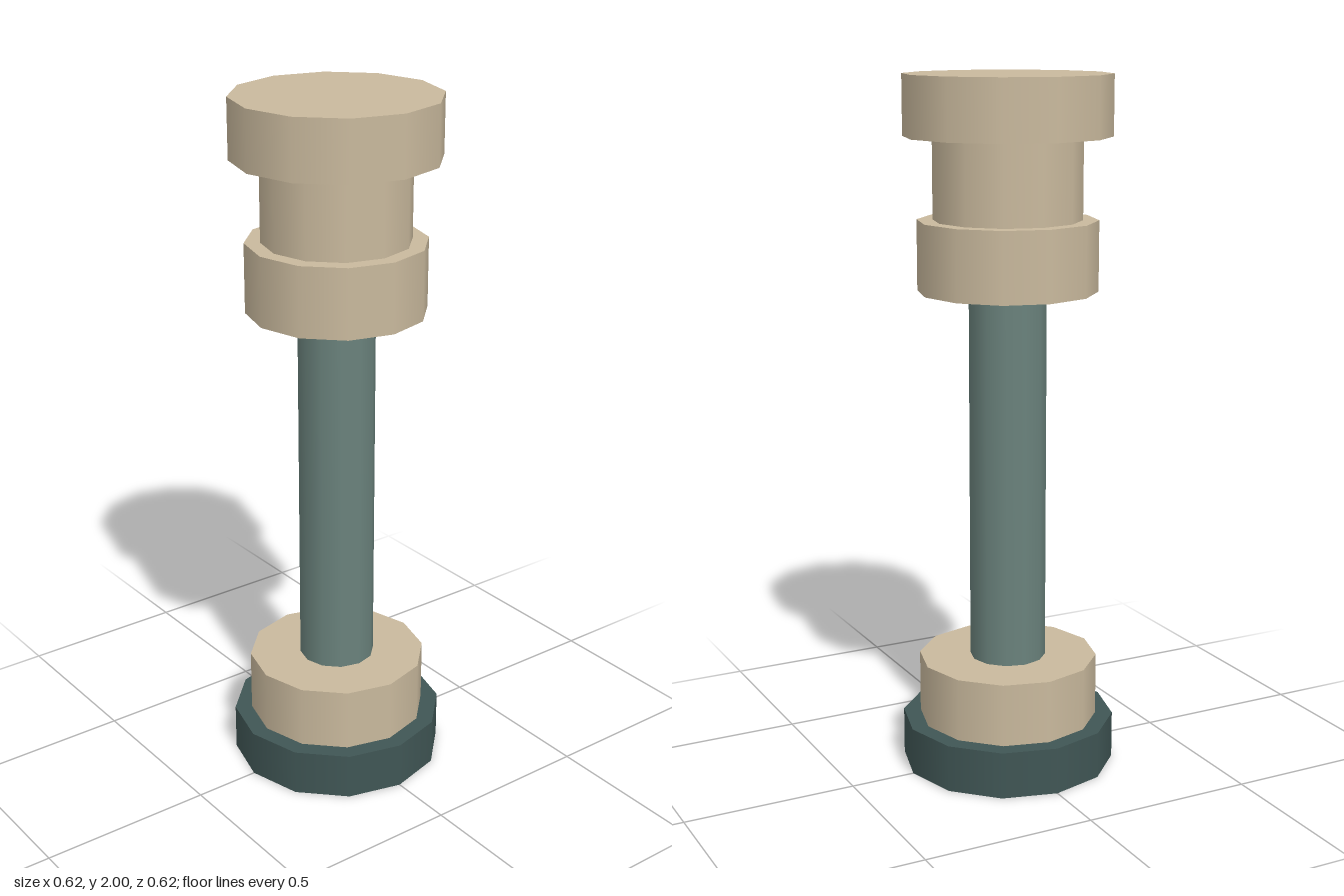
import * as THREE from 'three';

export function createModel() {
  const mat = (name, color) => {
    const m = new THREE.MeshStandardMaterial({ color });
    m.name = name;
    return m;
  };
  const stone = mat('sandstone', 0xc9b99d);
  const green = mat('grey green', 0x6a827c);
  const dark = mat('dark teal', 0x405655);

  const group = new THREE.Group();
  group.name = 'column';

  // Stacked twelve-sided drums: name, radius, bottom, top, material
  const drums = [
    ['base', 0.31, 0, 0.137, dark],
    ['lowerCollar', 0.26, 0.137, 0.32, stone],
    ['shaft', 0.11, 0.32, 1.4, green],
    ['upperCollar', 0.255, 1.4, 1.6, stone],
    ['neck', 0.21, 1.6, 1.83, stone],
    ['cap', 0.292, 1.83, 2, stone],
  ];
  for (const [name, radius, bottom, top, material] of drums) {
    const mesh = new THREE.Mesh(new THREE.CylinderGeometry(radius, radius, top - bottom, 12), material);
    mesh.name = name;
    mesh.position.y = (bottom + top) / 2;
    group.add(mesh);
  }
  return group;
}
